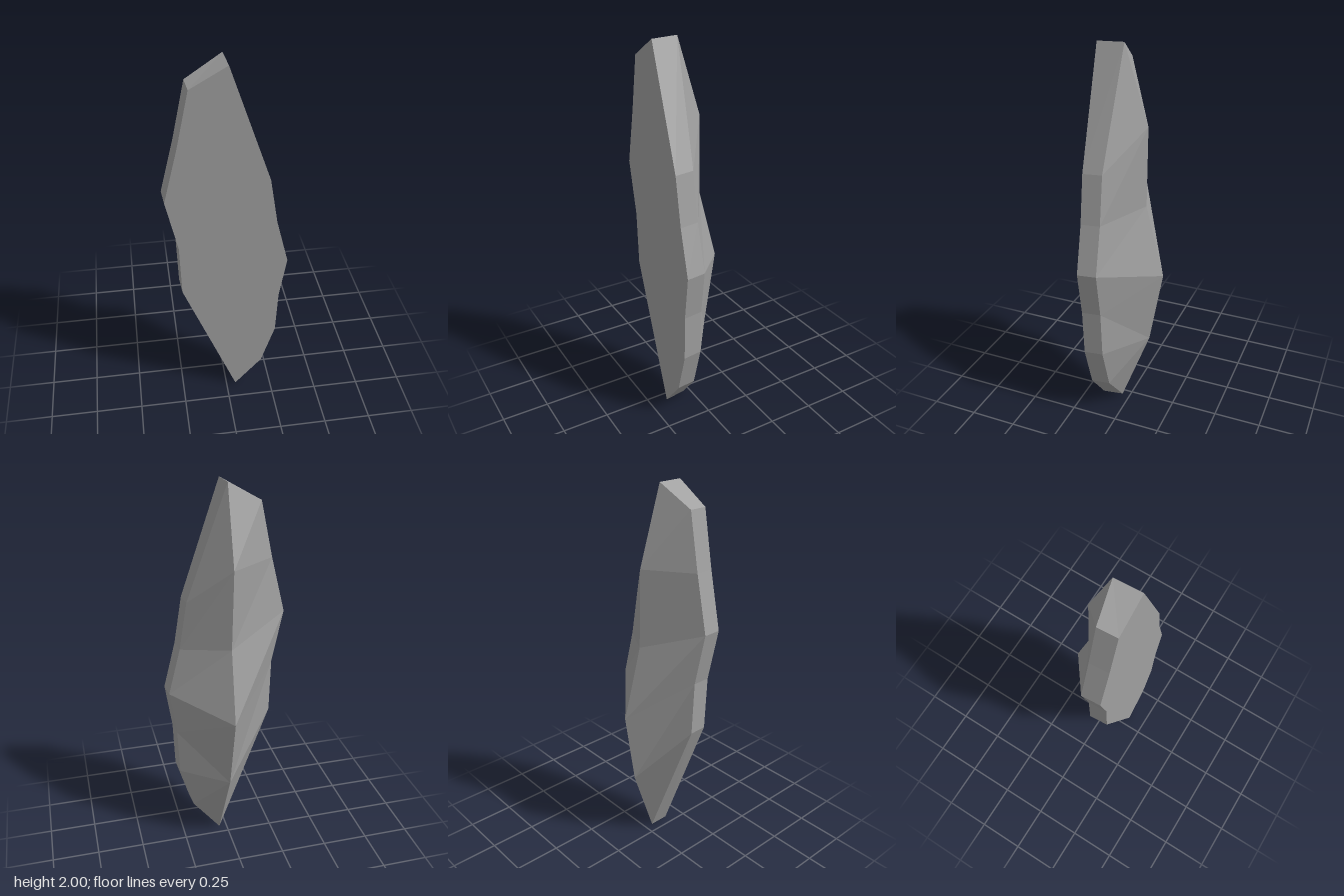
import * as THREE from 'three';

// Outline of the flat front face, top to bottom, down each side: [x, y]
const rightSide = [[0, 1.997], [-0.175, 1.895], [-0.233, 1.61], [-0.302, 1.32], [-0.243, 1.04], [-0.234, 0.75], [0.052, 0]];
const leftSide = [[0, 1.997], [0.203, 1.41], [0.245, 1.16], [0.309, 0.91], [0.275, 0.67], [0.267, 0.42], [0.196, 0.18], [0.052, 0]];

// Ridge down the back between the two tips: [x, y, z]
const ridge = [[-0.008, 1.61, -0.082], [0.002, 1.2, -0.08], [0.007, 0.82, -0.178], [0.018, 0.42, -0.11]];

// Ridge point that each outline segment leans towards
const rightApex = [0, 0, 1, 2, 3, 3];
const leftApex = [0, 0, 1, 2, 3, 3, 3];

const frontPoint = ([x, y]) => [x, y, 0.153 + 0.0117 * y + 0.017 * x];

// The rim sits behind the front face, deeper at the two tips
function rimPoint([x, y], i, side) {
  const tip = i === 0 || i === side.length - 1;
  return [x - 0.008, Math.min(2, y + (tip ? 0.008 : 0.004)), tip ? 0.04 : frontPoint([x, y])[2] - 0.1];
}

function flatGeometry(triangles) {
  const g = new THREE.BufferGeometry();
  g.setAttribute('position', new THREE.Float32BufferAttribute(triangles.flat(2), 3));
  g.computeVertexNormals();
  return g;
}

// One half of the shard: bevelled edge and faceted slope up to the ridge
function sideTriangles(side, apex, flip) {
  const tris = [];
  const add = (a, b, c) => tris.push(flip ? [a, c, b] : [a, b, c]);
  const front = side.map(frontPoint);
  const rim = side.map(rimPoint);
  for (let i = 0; i < apex.length; i++) {
    // edge band
    add(front[i], rim[i], front[i + 1]);
    add(rim[i], rim[i + 1], front[i + 1]);
    // slope
    add(rim[i], ridge[apex[i]], rim[i + 1]);
    if (i > 0 && apex[i] !== apex[i - 1]) add(rim[i], ridge[apex[i - 1]], ridge[apex[i]]);
  }
  return tris;
}

export function createModel() {
  const group = new THREE.Group();
  group.name = 'rockShard';
  const stone = new THREE.MeshStandardMaterial({ color: 0xa0a0a0 });
  stone.name = 'grey stone';

  const addPart = (name, geometry) => {
    const mesh = new THREE.Mesh(geometry, stone);
    mesh.name = name;
    group.add(mesh);
  };

  // Flat front face, tilted very slightly
  const outline = [...rightSide, ...leftSide.slice(1, -1).reverse()];
  const face = new THREE.ShapeGeometry(new THREE.Shape(outline.map(([x, y]) => new THREE.Vector2(x, y))));
  const p = face.attributes.position;
  for (let i = 0; i < p.count; i++) p.setZ(i, frontPoint([p.getX(i), p.getY(i)])[2]);
  face.computeVertexNormals();
  addPart('frontFace', face);

  // Faceted halves
  addPart('rightFacets', flatGeometry(sideTriangles(rightSide, rightApex, false)));
  addPart('leftFacets', flatGeometry(sideTriangles(leftSide, leftApex, true)));
  return group;
}
